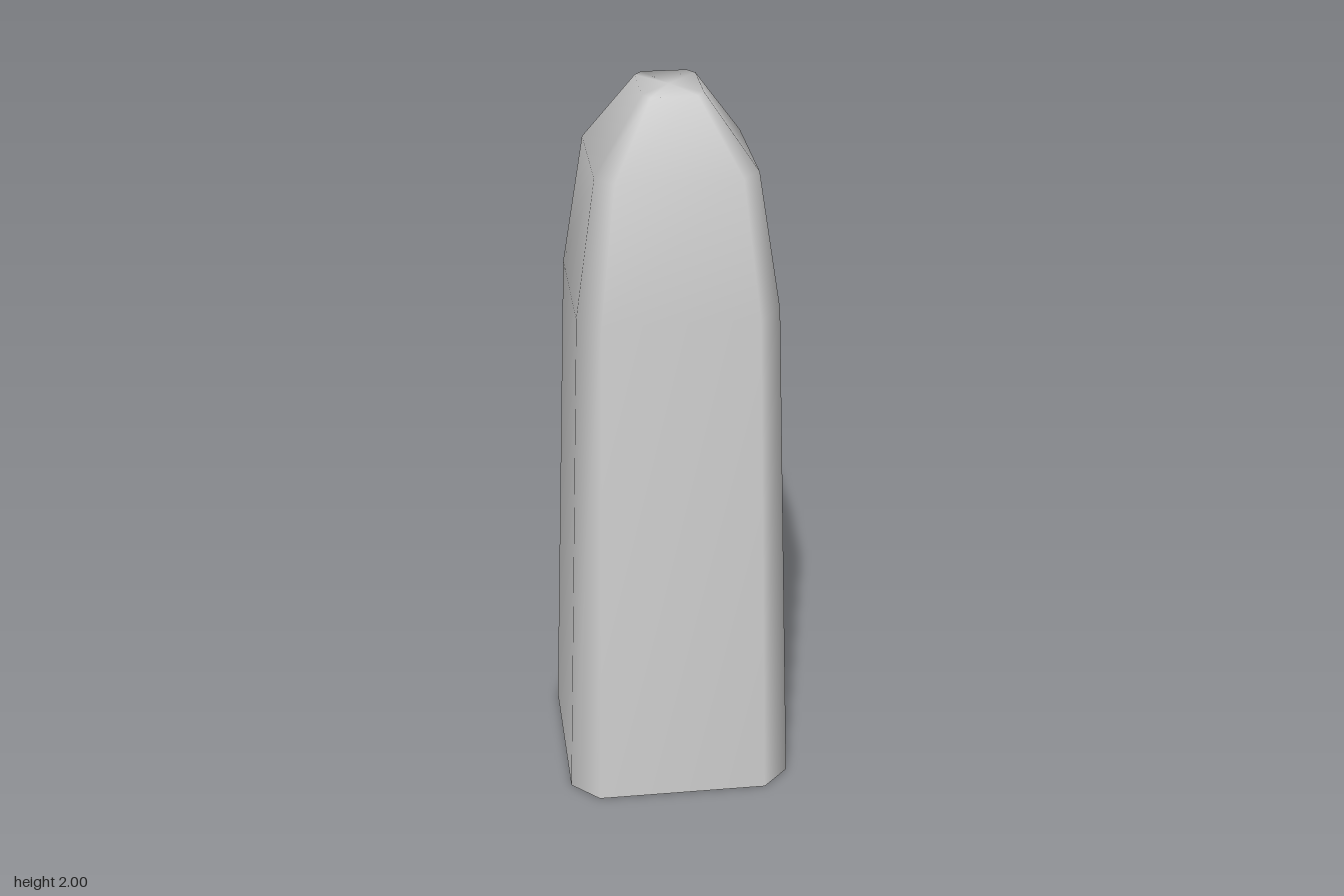
import * as THREE from 'three';

// Each level: height, half width, half depth, and the half lengths of the
// straight front and side edges between the cut corners.
const LEVELS = [
  { y: 0, w: 0.312, d: 0.312, front: 0.237, side: 0.237 },
  { y: 1.44, w: 0.268, d: 0.263, front: 0.207, side: 0.2 },
  { y: 1.81, w: 0.213, d: 0.213, front: 0.165, side: 0.165 },
  { y: 2, w: 0.08, d: 0.11, front: 0.06, side: 0.083 },
];

// Eight-sided cross-section, counter-clockwise seen from above
function section({ y, w, d, front, side }) {
  return [
    [-front, y, d], [front, y, d],
    [w, y, side], [w, y, -side],
    [front, y, -d], [-front, y, -d],
    [-w, y, -side], [-w, y, side],
  ];
}

function pillarGeometry() {
  const n = 8;
  const points = LEVELS.flatMap(section);
  const index = [];
  for (let r = 0; r < LEVELS.length - 1; r++) {
    for (let i = 0; i < n; i++) {
      const a = r * n + i;
      const b = r * n + ((i + 1) % n);
      index.push(a, b, b + n, a, b + n, a + n);
    }
  }
  // Flat tip; the base stays open
  const last = (LEVELS.length - 1) * n;
  const centre = points.length;
  points.push([0, 2, 0]);
  for (let i = 0; i < n; i++) index.push(centre, last + i, last + ((i + 1) % n));

  const geometry = new THREE.BufferGeometry();
  geometry.setAttribute('position', new THREE.Float32BufferAttribute(points.flat(), 3));
  geometry.setIndex(index);
  geometry.computeVertexNormals();
  return geometry;
}

export function createModel() {
  const group = new THREE.Group();
  group.name = 'taperedPillar';
  const grey = new THREE.MeshStandardMaterial({ color: 0xcccccc, side: THREE.DoubleSide });
  grey.name = 'light grey';
  const shell = new THREE.Mesh(pillarGeometry(), grey);
  shell.name = 'pillarShell';
  group.add(shell);
  return group;
}
